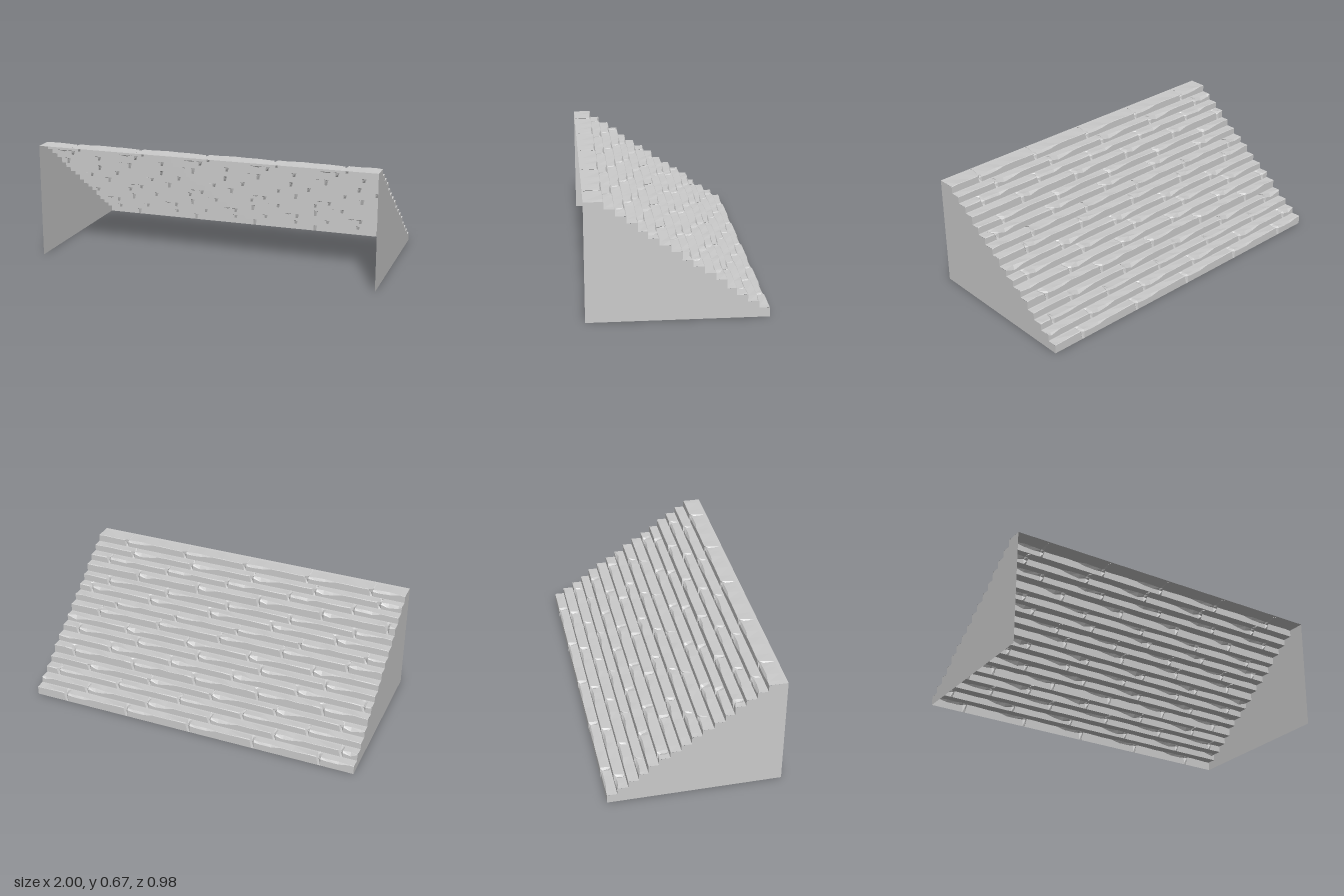
import * as THREE from 'three';

// Steps from the bottom up: nose z, tread height y, joint offset along x
const STEPS = [
  [-0.49, 0.052, 0.01], [-0.433, 0.09, 0.3], [-0.372, 0.128, 0.12], [-0.312, 0.168, 0.34],
  [-0.26, 0.218, 0.07], [-0.202, 0.257, 0.25], [-0.14, 0.295, 0.1], [-0.08, 0.333, 0.2],
  [-0.023, 0.38, 0.01], [0.035, 0.418, 0.32], [0.098, 0.457, 0.12], [0.157, 0.497, 0.03],
  [0.208, 0.545, 0.25], [0.267, 0.583, 0.08], [0.327, 0.622, 0.34], [0.385, 0.663, 0.01],
];
const BACK_Z = 0.49;
const STONE = 0.4;

// Columns across one stone: position, chip drop, chip depth, joint notch depth
const COLUMNS = [
  [0.0, 0.018, 0.012, 0.012],
  [0.012, 0.004, 0.006, 0],
  [0.06, 0.003, 0.004, 0],
  [0.15, 0.002, 0.003, 0],
  [0.22, 0.001, 0.003, 0],
  [0.28, 0.012, 0.008, 0],
  [0.34, 0.02, 0.012, 0],
  [0.385, 0.01, 0.008, 0],
];

const stone = new THREE.MeshStandardMaterial({
  color: 0xcccccc, flatShading: true, side: THREE.DoubleSide,
});

function seeded(seed) {
  let s = seed * 7919 + 13;
  return () => (s = (s * 16807) % 2147483647) / 2147483647;
}

// One row of chipped stones: riser, worn nose and tread
function stepGeometry(i) {
  const [z, y, offset] = STEPS[i];
  const below = i ? STEPS[i - 1][1] : 0;
  const backZ = i < STEPS.length - 1 ? STEPS[i + 1][0] : BACK_Z;
  const rand = seeded(i + 1);
  const wear = COLUMNS.map(() => 0.5 + rand() * 0.8);
  const lift = COLUMNS.map(() => rand() * 0.005);
  const slant = (rand() - 0.5) * 0.05;

  const columns = [];
  const addColumn = (x, drop, depth, notch, up, lean) => columns.push([
    [x, below, z],
    [x, y + up - drop, z + notch],
    [x + lean * 0.3, y + up - notch * 0.8, z + notch + depth],
    [x + lean, y - notch * 0.5, z + (backZ - z) * 0.8],
    [x, y, backZ],
  ]);
  addColumn(-1, 0.002, 0.003, 0, 0.001, 0);
  for (let k = -4; k < 3; k++) {
    COLUMNS.forEach(([u, drop, depth, notch], c) => {
      const x = k * STONE + offset + u;
      if (Math.abs(x) > 0.985) return;
      const lean = c < 2 && Math.abs(x) < 0.95 ? slant : 0;
      addColumn(x, drop * wear[c], depth * wear[c], notch, lift[c], lean);
    });
  }
  addColumn(1, 0.002, 0.003, 0, 0.001, 0);

  const positions = [];
  for (let c = 0; c < columns.length - 1; c++) {
    const p = columns[c], q = columns[c + 1];
    for (let r = 0; r < p.length - 1; r++) {
      positions.push(...p[r], ...p[r + 1], ...q[r + 1], ...p[r], ...q[r + 1], ...q[r]);
    }
  }
  const geometry = new THREE.BufferGeometry();
  geometry.setAttribute('position', new THREE.Float32BufferAttribute(positions, 3));
  geometry.computeVertexNormals();
  return geometry;
}

// Stepped side wall in the yz plane
function wallGeometry() {
  const shape = new THREE.Shape();
  shape.moveTo(-BACK_Z, 0);
  shape.lineTo(-STEPS[0][0], 0);
  STEPS.forEach(([z, y], i) => {
    const backZ = i < STEPS.length - 1 ? STEPS[i + 1][0] : BACK_Z;
    shape.lineTo(-z, y);
    shape.lineTo(-backZ, y);
  });
  shape.closePath();
  return new THREE.ShapeGeometry(shape).rotateY(Math.PI / 2);
}

export function createModel() {
  const model = new THREE.Group();
  model.name = 'stoneStairs';

  // Stair surface, open underneath and at the tall end
  const flight = new THREE.Group();
  flight.name = 'steps';
  STEPS.forEach((_, i) => {
    const step = new THREE.Mesh(stepGeometry(i), stone);
    step.name = `step${i + 1}`;
    flight.add(step);
  });
  model.add(flight);

  // Side walls
  for (const side of [1, -1]) {
    const wall = new THREE.Mesh(wallGeometry(), stone);
    wall.name = side > 0 ? 'leftWall' : 'rightWall';
    wall.position.x = side;
    if (side < 0) wall.geometry.index.array.reverse();
    model.add(wall);
  }
  return model;
}
